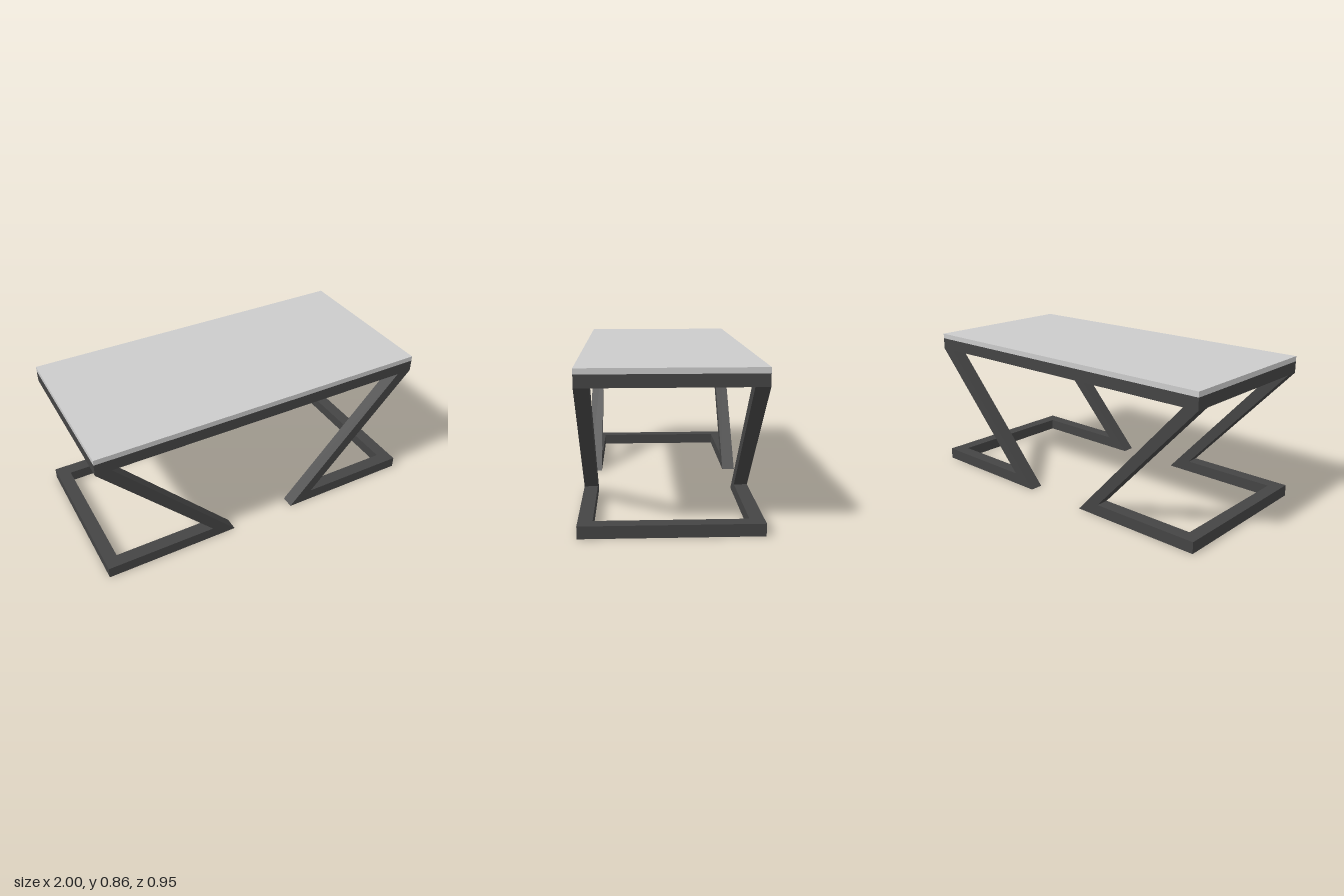
import * as THREE from 'three';

const HALF_X = 1, HALF_Z = 0.477, BAR = 0.077, BAR_H = 0.067;
const FRAME_Y = 0.763, TOP_Y = 0.83, TOP_H = 0.03;

const topMat = new THREE.MeshStandardMaterial({ color: 0xcccccc });
const frameMat = new THREE.MeshStandardMaterial({ color: 0x444444 });

function addBox(parent, name, size, pos, mat) {
  const mesh = new THREE.Mesh(new THREE.BoxGeometry(...size), mat);
  mesh.name = name;
  mesh.position.set(...pos);
  parent.add(mesh);
}

// Slanted leg and its floor bar as one flat V profile, side = +1 or -1
function legGeometry(side) {
  const profile = [[1, 0], [0.2, 0], [0.91, FRAME_Y], [1, FRAME_Y], [0.345, BAR_H], [1, BAR_H]];
  const shape = new THREE.Shape(profile.map(([x, y]) => new THREE.Vector2(side * x, y)));
  return new THREE.ExtrudeGeometry(shape, { depth: BAR, bevelEnabled: false });
}

export function createModel() {
  const table = new THREE.Group();
  table.name = 'table';

  // Table top slab
  addBox(table, 'tableTop', [2 * HALF_X, TOP_H, 2 * HALF_Z], [0, TOP_Y + TOP_H / 2, 0], topMat);

  // Rectangular frame under the top, open in the middle
  const outline = new THREE.Shape([[-1, -1], [1, -1], [1, 1], [-1, 1]]
    .map(([x, z]) => new THREE.Vector2(x * HALF_X, z * HALF_Z)));
  outline.holes.push(new THREE.Path([[-1, -1], [-1, 1], [1, 1], [1, -1]]
    .map(([x, z]) => new THREE.Vector2(x * (HALF_X - BAR), z * (HALF_Z - BAR)))));
  const frameGeo = new THREE.ExtrudeGeometry(outline, { depth: TOP_Y - FRAME_Y, bevelEnabled: false });
  frameGeo.rotateX(-Math.PI / 2);
  const frame = new THREE.Mesh(frameGeo, frameMat);
  frame.name = 'topFrame';
  frame.position.y = FRAME_Y;
  table.add(frame);

  // Two mirrored bases: front and back leg joined by a floor crossbar
  for (const side of [1, -1]) {
    const base = new THREE.Group();
    base.name = side > 0 ? 'leftBase' : 'rightBase';
    const geo = legGeometry(side);
    for (const [name, z] of [['frontLeg', HALF_Z - BAR], ['backLeg', -HALF_Z]]) {
      const leg = new THREE.Mesh(geo, frameMat);
      leg.name = name;
      leg.position.z = z;
      base.add(leg);
    }
    addBox(base, 'footCrossbar', [BAR, BAR_H, 2 * (HALF_Z - BAR)],
      [side * (HALF_X - BAR / 2), BAR_H / 2, 0], frameMat);
    table.add(base);
  }
  return table;
}
